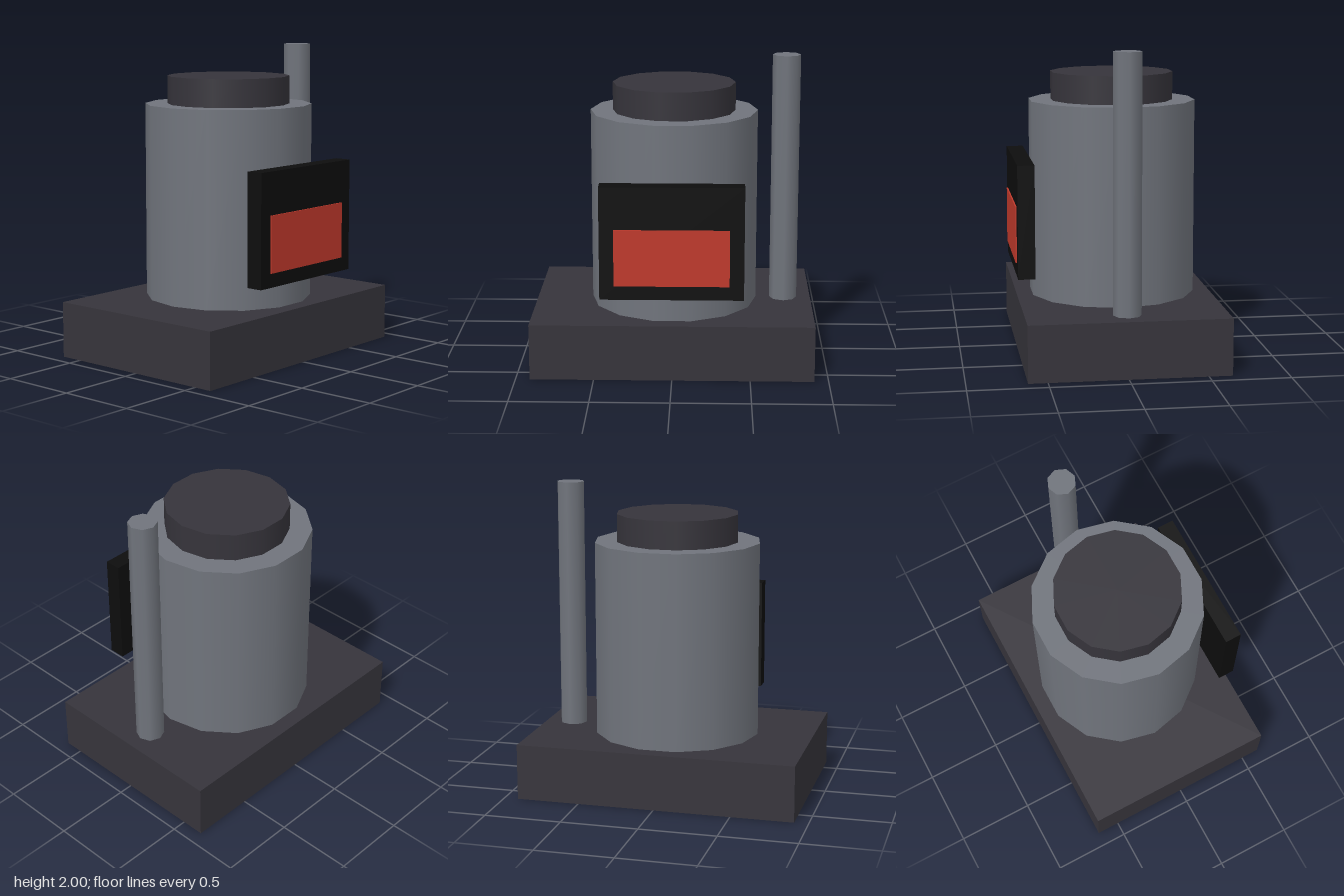
import * as THREE from 'three';

const Z = -0.0136; // shared centre line of base, drum and pipe

const material = (name, color) => {
  const m = new THREE.MeshStandardMaterial({ color });
  m.name = name;
  return m;
};

export function createModel() {
  const charcoal = material('charcoal', 0x36343b);
  const steel = material('steel grey', 0x70747c);
  const black = material('black', 0x0d0d0d);
  const red = material('red', 0xc0392b);
  const model = new THREE.Group();

  const add = (name, geometry, mat, x, y, z) => {
    const mesh = new THREE.Mesh(geometry, mat);
    mesh.name = name;
    mesh.position.set(x, y, z);
    model.add(mesh);
  };
  const box = (name, mat, w, y0, y1, z0, z1) =>
    add(name, new THREE.BoxGeometry(w, y1 - y0, z1 - z0), mat, 0, (y0 + y1) / 2, (z0 + z1) / 2);
  // Upright cylinder with corners on the x axis
  const post = (name, mat, radius, sides, x, y0, y1) =>
    add(name, new THREE.CylinderGeometry(radius, radius, y1 - y0, sides).rotateY(Math.PI / 2),
      mat, x, (y0 + y1) / 2, Z);

  // Base slab, drum with its lid, and the side pipe
  box('base', charcoal, 1.818, 0, 0.364, -0.65, 0.623);
  post('drum', steel, 0.545, 14, 0, 0.364, 1.636);
  post('lid', charcoal, 0.4, 14, 0, 1.636, 1.818);
  post('pipe', steel, 0.091, 8, 0.727, 0.364, 2);

  // Front panel with its red display
  box('panel', black, 0.909, 0.545, 1.273, 0.532, 0.641);
  box('display', red, 0.727, 0.636, 1.0, 0.641, 0.65);

  return model;
}
